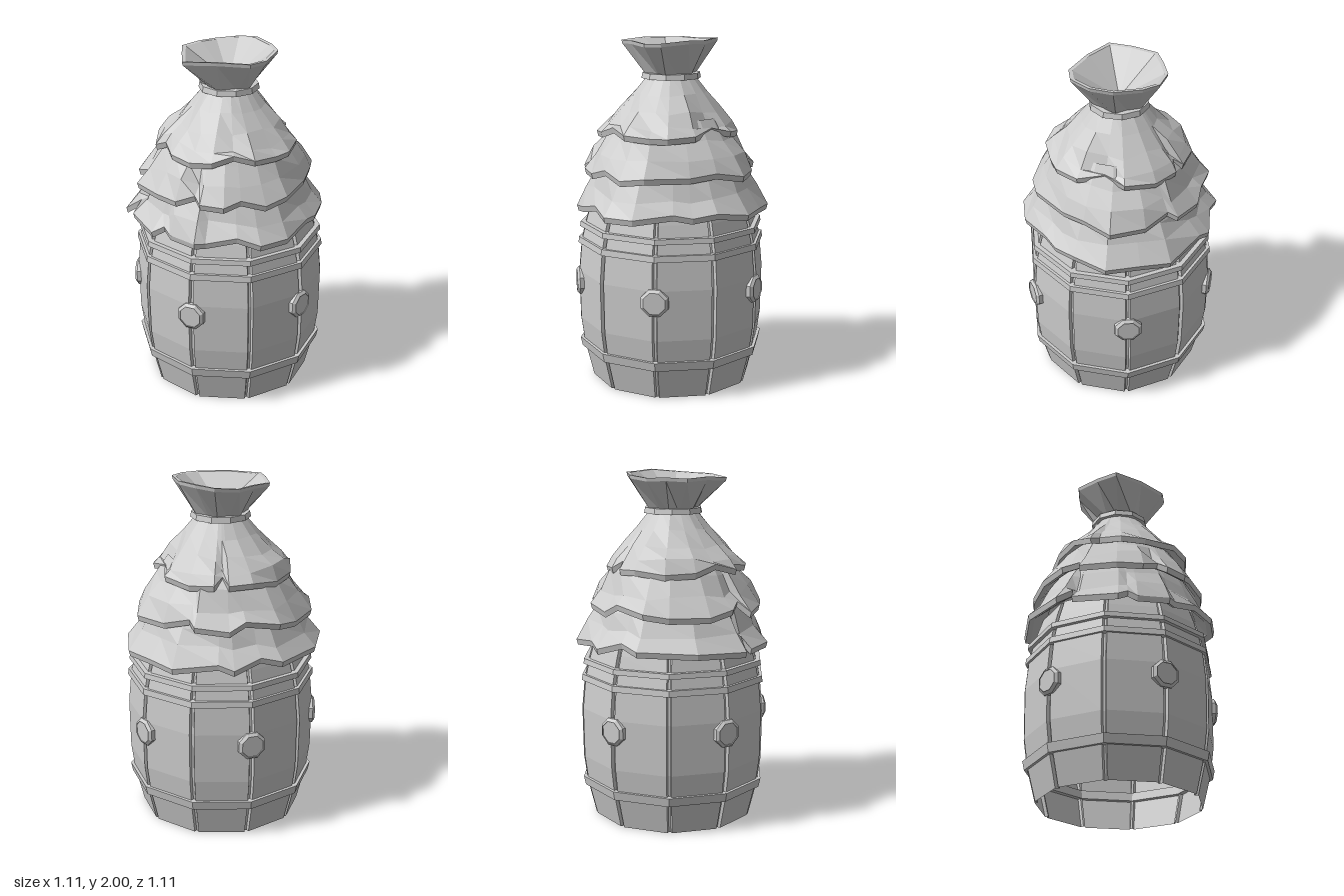
import * as THREE from 'three';

const RAD = Math.PI / 180;
const mat = new THREE.MeshStandardMaterial({ color: 0xcccccc, flatShading: true, side: THREE.DoubleSide });

// Polar point: angle runs from +x towards +z
const polar = (deg, r, y) => [r * Math.cos(deg * RAD), y, r * Math.sin(deg * RAD)];

// Skin closed rings (listed top to bottom on the outside) into a faceted surface
function loft(name, rings, close = false) {
  const n = rings[0].length, pos = rings.flat(2), idx = [];
  const rows = close ? rings.length : rings.length - 1;
  for (let i = 0; i < rows; i++) {
    const k = (i + 1) % rings.length;
    for (let j = 0; j < n; j++) {
      const m = (j + 1) % n;
      const a = i * n + j, b = i * n + m, c = k * n + j, d = k * n + m;
      idx.push(a, b, c, b, d, c);
    }
  }
  const g = new THREE.BufferGeometry();
  g.setAttribute('position', new THREE.Float32BufferAttribute(pos, 3));
  g.setIndex(idx);
  const flat = g.toNonIndexed();
  flat.computeVertexNormals();
  const mesh = new THREE.Mesh(flat, mat);
  mesh.name = name;
  return mesh;
}

const decagon = (r, y) => Array.from({ length: 10 }, (_, i) => polar(i * 36, r, y));

// Ten-sided hoop standing proud of the wall on both faces
const hoop = (name, y0, y1, r0, r1, t) =>
  loft(name, [decagon(r1, y1), decagon(r0, y0), decagon(r0 - t, y0), decagon(r1 - t, y1)], true);

// Small seeded jitter in -1..1
let seed = 7;
const jitter = () => ((seed = (seed * 16807) % 2147483647) / 2147483647) * 2 - 1;

// Ragged cloth skirt: hem holds [angle, radius, height]; upper rows are [radius, height]
function skirt(name, upper, hem, hemR) {
  const rings = upper.map(([r, y], row) => hem.map(([a, hr]) => {
    const s = row / upper.length;
    return polar(a, r * (1 + (hr / hemR - 1) * s + 0.05 * s * jitter()), y + 0.03 * s * jitter());
  }));
  rings.push(hem.map(([a, r, y]) => polar(a, r, y + 0.025)));
  rings.push(hem.map(([a, r, y]) => polar(a, r - 0.008, y - 0.008)));
  rings.push(hem.map(([a, r, y]) => polar(a, r - 0.04, y + 0.01)));
  const [r, y] = upper[upper.length - 1];
  rings.push(hem.map(([a]) => polar(a, r - 0.04, y - 0.02)));
  return loft(name, rings);
}

export function createModel() {
  const model = new THREE.Group();
  model.name = 'barrel';

  // Bulging stave wall, open below, with a narrow groove at every corner
  const profile = [[0.455, 1.1], [0.485, 1.01], [0.51, 0.92], [0.53, 0.83], [0.547, 0.65],
    [0.542, 0.36], [0.52, 0.2], [0.47, 0]];
  const wall = profile.map(([r, y]) => {
    const ring = [];
    for (let i = 0; i < 10; i++) {
      for (const [da, dr] of [[-1.5, 0.002], [-0.7, 0.02], [0.7, 0.02], [1.5, 0.002]]) {
        ring.push(polar(i * 36 + da, r - dr, y));
      }
    }
    return ring;
  });
  model.add(loft('staves', wall));

  // Hoops
  model.add(hoop('upperHoop', 0.912, 0.942, 0.537, 0.533, 0.05));
  model.add(hoop('shoulderHoop', 0.815, 0.85, 0.548, 0.544, 0.05));
  model.add(hoop('lowerHoop', 0.18, 0.232, 0.534, 0.545, 0.05));

  // Five octagonal bolts with a bevelled face
  const boltShape = [[0.083, -0.06], [0.083, 0.012], [0.066, 0.026], [0.066, 0.02], [0, 0.02]]
    .map(([x, y]) => new THREE.Vector2(x, y));
  const boltGeo = new THREE.LatheGeometry(boltShape, 8);
  boltGeo.rotateY(22.5 * RAD);
  boltGeo.rotateZ(-Math.PI / 2);
  for (let i = 0; i < 5; i++) {
    const bolt = new THREE.Mesh(boltGeo, mat);
    bolt.name = 'bolt' + (i + 1);
    bolt.position.set(...polar(i * 72, 0.535, 0.585));
    bolt.rotation.y = -i * 72 * RAD;
    model.add(bolt);
  }

  // Three overlapping cloth layers with torn hems
  const lowHem = [[13, 0.555, 1.02], [31, 0.57, 1.02], [44, 0.53, 1.06], [63, 0.53, 1.02],
    [69, 0.555, 1.02], [88, 0.52, 1.02], [94, 0.51, 1.05], [100, 0.557, 1.01],
    [127, 0.565, 1.02], [130, 0.51, 1.09], [135, 0.6, 1.02], [164, 0.575, 1.03],
    [198, 0.575, 1.04], [210, 0.53, 1.07], [227, 0.56, 1.02], [236, 0.54, 1.05],
    [263, 0.565, 1.01], [281, 0.54, 1.02], [301, 0.57, 1.02], [322, 0.54, 1.05],
    [337, 0.52, 1.03], [349, 0.51, 1.05]];
  const midHem = [[8, 0.49, 1.24], [25, 0.5, 1.22], [41, 0.48, 1.26], [52, 0.51, 1.23],
    [67, 0.51, 1.24], [72, 0.47, 1.27], [84, 0.51, 1.23], [101, 0.51, 1.23],
    [124, 0.54, 1.22], [128, 0.47, 1.28], [138, 0.52, 1.25], [155, 0.53, 1.22],
    [180, 0.515, 1.22], [196, 0.525, 1.24], [218, 0.48, 1.27], [229, 0.49, 1.22],
    [252, 0.49, 1.24], [257, 0.45, 1.27], [276, 0.48, 1.23], [299, 0.52, 1.23],
    [318, 0.47, 1.26], [337, 0.45, 1.24]];
  const topHem = [[8, 0.4, 1.45], [29, 0.42, 1.46], [45, 0.4, 1.49], [62, 0.42, 1.45],
    [79, 0.43, 1.44], [98, 0.42, 1.45], [117, 0.38, 1.47], [122, 0.43, 1.45],
    [141, 0.4, 1.49], [160, 0.41, 1.45], [184, 0.405, 1.44], [209, 0.41, 1.46],
    [228, 0.39, 1.45], [233, 0.34, 1.49], [240, 0.39, 1.45], [262, 0.385, 1.44],
    [289, 0.385, 1.46], [307, 0.33, 1.49], [330, 0.39, 1.46], [353, 0.405, 1.45]];
  model.add(skirt('lowerCloth', [[0.39, 1.34], [0.44, 1.24], [0.485, 1.14]], lowHem, 0.55));
  model.add(skirt('middleCloth', [[0.3, 1.56], [0.375, 1.45], [0.44, 1.35]], midHem, 0.5));
  model.add(skirt('upperCloth', [[0.13, 1.79], [0.21, 1.69], [0.29, 1.6], [0.36, 1.53]], topHem, 0.4));

  // Tie around the neck
  model.add(hoop('neckTie', 1.77, 1.802, 0.172, 0.166, 0.06));

  // Flared sack mouth with an irregular rim, pinched shut at the neck
  const rim = [[0.28, 0.01, 1.985], [0.25, 0.11, 1.98], [0.1, 0.215, 1.985], [-0.07, 0.305, 1.975],
    [-0.17, 0.2, 1.985], [-0.27, 0.09, 1.98], [-0.25, -0.03, 1.985], [-0.225, -0.14, 1.98],
    [-0.13, -0.24, 1.99], [-0.02, -0.265, 2], [0.13, -0.22, 1.995], [0.235, -0.14, 2]];
  const ring = (s, dy) => rim.map(([x, z, y]) => [x * s, y + dy, z * s]);
  const neck = rim.map(([x, z], i) => polar(Math.atan2(z, x) / RAD, i % 2 ? 0.115 : 0.14, 1.78));
  const throat = rim.map(() => [0, 1.81, 0]);
  model.add(loft('sackMouth', [throat, ring(0.92, -0.002), ring(1, 0), ring(0.985, -0.02), neck]));

  return model;
}
